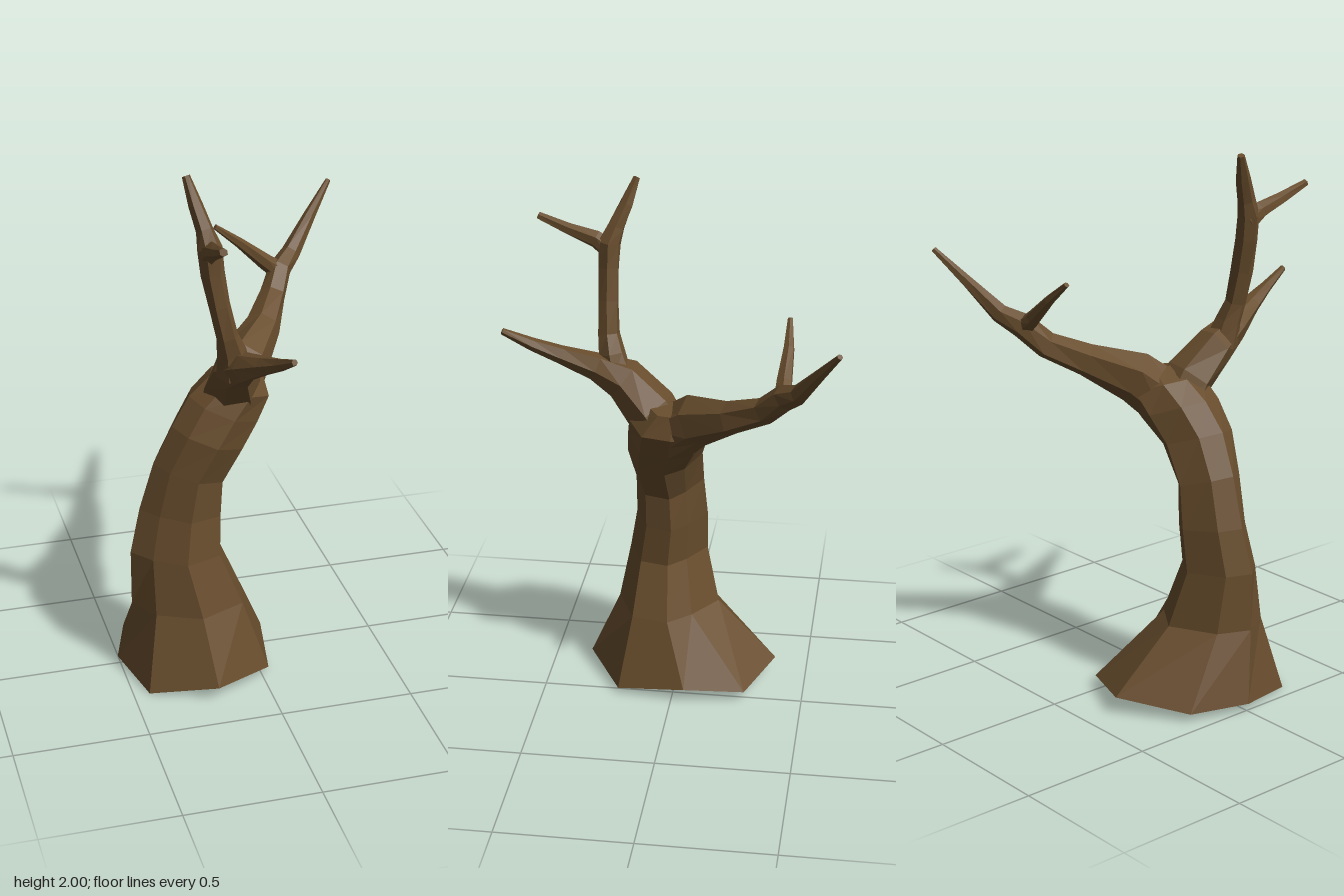
import * as THREE from 'three';

const V = (x, y, z) => new THREE.Vector3(x, y, z);

// Skin a list of equal-sized rings of points, closing both ends
function loft(rings) {
  const n = rings[0].length, pos = [], idx = [];
  rings.forEach(r => r.forEach(p => pos.push(p.x, p.y, p.z)));
  for (let k = 0; k < rings.length - 1; k++) {
    for (let i = 0; i < n; i++) {
      const a = k * n + i, b = k * n + (i + 1) % n;
      idx.push(a, b, b + n, a, b + n, a + n);
    }
  }
  [0, rings.length - 1].forEach((k, end) => {
    const c = rings[k].reduce((s, p) => s.add(p), V(0, 0, 0)).divideScalar(n);
    const ci = pos.length / 3;
    pos.push(c.x, c.y, c.z);
    for (let i = 0; i < n; i++) {
      const a = k * n + i, b = k * n + (i + 1) % n;
      if (end) idx.push(ci, a, b); else idx.push(ci, b, a);
    }
  });
  const g = new THREE.BufferGeometry();
  g.setAttribute('position', new THREE.Float32BufferAttribute(pos, 3));
  g.setIndex(idx);
  const flat = g.toNonIndexed();
  flat.computeVertexNormals();
  return flat;
}

// Limb through nodes [x, y, z, radius], its rings aligned to a reference axis
function limb(nodes, ref, sides) {
  const pts = nodes.map(p => V(p[0], p[1], p[2]));
  return loft(nodes.map((p, k) => {
    const t = pts[Math.min(k + 1, pts.length - 1)].clone().sub(pts[Math.max(k - 1, 0)]).normalize();
    const u = ref.clone().addScaledVector(t, -ref.dot(t)).normalize();
    const v = t.clone().cross(u);
    return Array.from({ length: sides }, (_, i) => {
      const a = i / sides * Math.PI * 2;
      const r = p[3] * (1.05 + 0.07 * Math.sin(i * 2.3 + k * 1.7));
      return pts[k].clone().addScaledVector(u, r * Math.cos(a)).addScaledVector(v, r * Math.sin(a));
    });
  }));
}

// Footprint of the trunk: x, y, z of its eight corners
const foot = [
  [-0.2, 0.05, 0.35], [0.03, 0.02, 0.21], [0.07, 0.055, -0.05], [0.03, 0.04, -0.28],
  [-0.21, 0.065, -0.38], [-0.44, 0.03, -0.22], [-0.51, 0.03, 0], [-0.44, 0, 0.24],
];

// Trunk rings above the footprint: x, y, z, half width, half depth, tilt,
// then how far the back left and front right corners are kept out
const trunkRings = [
  [-0.245, 0.29, 0.045, 0.215, 0.195, 0, 0.74, 0.9],
  [-0.288, 0.5, 0.05, 0.172, 0.15, 0.05, 0.74, 0.8],
  [-0.265, 0.66, 0.035, 0.155, 0.137, 0.1, 0.74, 0.8],
  [-0.235, 0.82, 0.04, 0.13, 0.13, 0.3, 0.74, 0.85],
  [-0.165, 0.96, 0.05, 0.13, 0.142, 0.35, 0.82, 0.9],
  [-0.1, 1.06, 0.03, 0.125, 0.15, 0.4, 0.95, 0.95],
  [-0.035, 1.14, 0.015, 0.105, 0.15, 0.35, 1.1, 1],
  [0, 1.2, 0, 0.05, 0.08, 0.2, 1, 1],
];

function trunk() {
  const rings = [foot.map(p => V(...p))];
  for (const [x, y, z, w, d, tilt, backLeft, frontRight] of trunkRings) {
    rings.push(foot.map((p, i) => {
      const f = i === 3 ? backLeft : i === 7 ? frontRight : 1;
      const dx = f * (p[0] + 0.22) / 0.29 * w, dz = f * (p[2] + 0.015) / 0.365 * d;
      return V(x + dx, y - tilt * dx, z + dz);
    }));
  }
  return loft(rings);
}

// Boughs and twigs: x, y, z, radius
const backBough = [
  [-0.06, 1.07, 0.02, 0.1], [0.02, 1.172, -0.09, 0.088], [0.13, 1.24, -0.23, 0.06],
  [0.2, 1.305, -0.355, 0.049], [0.25, 1.38, -0.425, 0.043], [0.31, 1.42, -0.48, 0.033],
  [0.4, 1.53, -0.55, 0.022], [0.5, 1.645, -0.625, 0.01],
];
const backTwig = [
  [0.25, 1.37, -0.42, 0.035], [0.19, 1.415, -0.42, 0.028],
  [0.09, 1.5, -0.425, 0.019], [-0.005, 1.575, -0.42, 0.01],
];
const frontBough = [
  [-0.07, 1.06, 0.03, 0.1], [-0.078, 1.165, 0.09, 0.093], [-0.1, 1.27, 0.195, 0.073],
  [-0.085, 1.32, 0.3, 0.051], [-0.05, 1.375, 0.42, 0.034], [-0.025, 1.42, 0.52, 0.022],
  [-0.005, 1.472, 0.625, 0.011],
];
const uprightBough = [
  [-0.105, 1.27, 0.22, 0.06], [-0.12, 1.36, 0.24, 0.048], [-0.14, 1.43, 0.255, 0.038],
  [-0.167, 1.55, 0.26, 0.038], [-0.19, 1.67, 0.26, 0.039], [-0.2, 1.76, 0.258, 0.041],
  [-0.212, 1.82, 0.235, 0.031], [-0.233, 1.9, 0.2, 0.025], [-0.257, 1.993, 0.165, 0.013],
];
const uprightTwig = [
  [-0.2, 1.73, 0.25, 0.037], [-0.204, 1.77, 0.31, 0.03],
  [-0.209, 1.803, 0.41, 0.022], [-0.22, 1.846, 0.522, 0.014],
];

export function createModel() {
  const bark = new THREE.MeshStandardMaterial({ color: 0x684d2d });
  bark.name = 'bark brown';
  bark.flatShading = true;
  const tree = new THREE.Group();
  tree.name = 'bareTree';
  const add = (name, geometry) => {
    const m = new THREE.Mesh(geometry, bark);
    m.name = name;
    tree.add(m);
  };
  const up = V(0, 1, 0), side = V(1, 0, 0);
  add('trunk', trunk());
  add('backBough', limb(backBough, up, 6));
  add('backTwig', limb(backTwig, up, 6));
  add('frontBough', limb(frontBough, side, 6));
  add('uprightBough', limb(uprightBough, side, 6));
  add('uprightTwig', limb(uprightTwig, up, 6));
  return tree;
}
